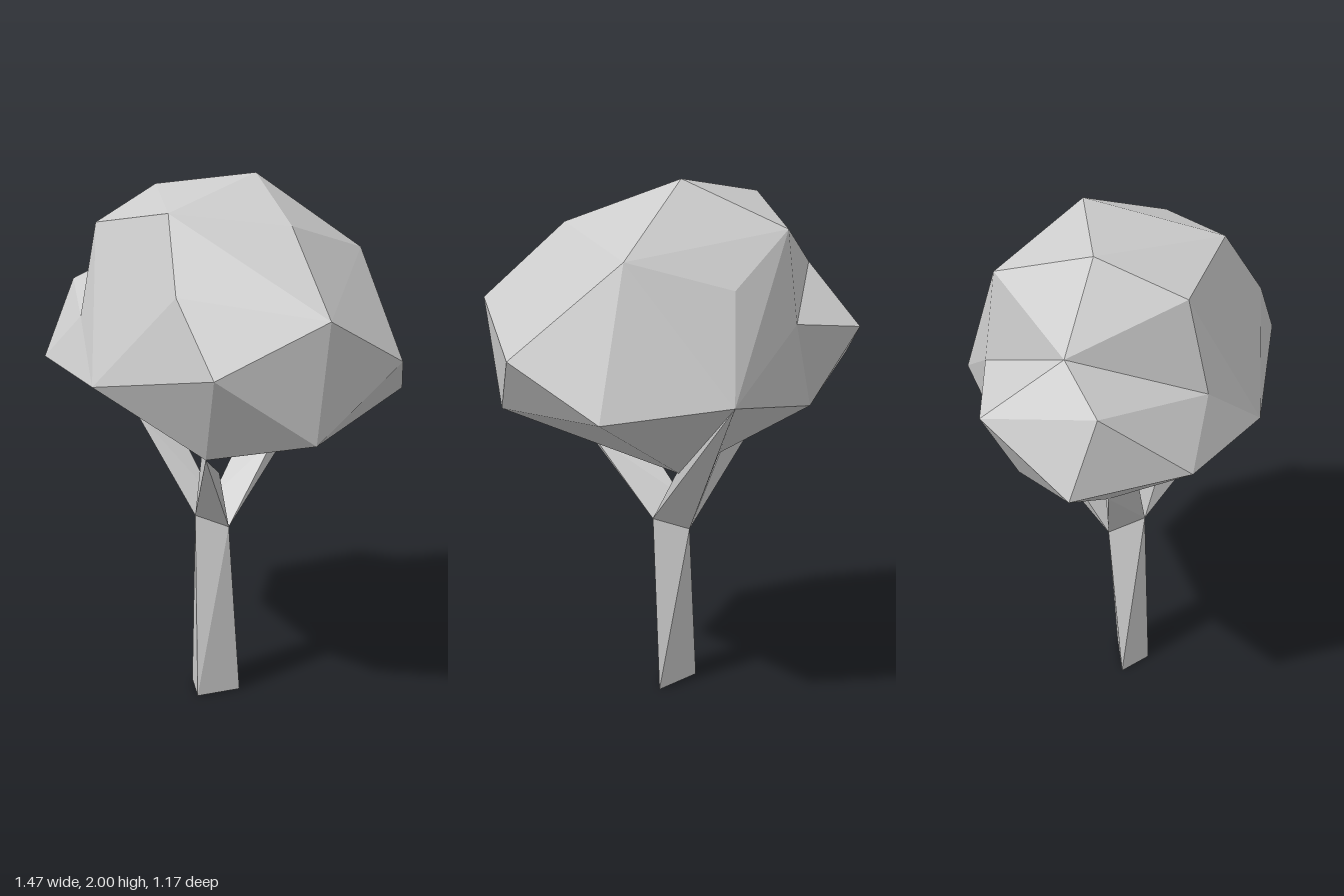
import * as THREE from 'three';
import { ConvexGeometry } from 'three/addons/geometries/ConvexGeometry.js';

// Shared corners of the tree, as [x, y, z]
const crotch = [0.01, 0.79, 0.05];
const trunkFront = [0.02, 0.74, 0.15];
const trunkLeft = [0.12, 0.70, 0.07];
const trunkBack = [-0.01, 0.66, 0.01];
const frontTip = [-0.03, 1.30, 0.58];
const backTip = [0.07, 1.27, -0.59];
const lobeTop = [-0.51, 1.68, 0.02];
const creaseFront = [-0.27, 1.50, 0.44];
const creaseBack = [-0.27, 1.50, -0.36];
const lobeUnder = [-0.42, 1.16, -0.19];
const underFrontLeft = [0.34, 1.08, 0.39];
const underFront = [0.11, 1.00, 0.20];
const underBack = [0.10, 0.94, -0.16];
const underRight = [-0.18, 1.06, 0.0];
const lobeBottom = [-0.36, 1.07, 0.12];

const parts = {
  // Three-sided, slightly twisted trunk
  trunk: [
    [0.05, 0, 0.17], [0.12, 0, 0.01], [-0.07, 0, 0.09],
    trunkFront, trunkLeft, trunkBack,
  ],
  // Three branches fork from the trunk top and end in the foliage
  leftBranch: [trunkFront, trunkLeft, crotch, underFrontLeft, underFront, [0.29, 1.0, 0.28]],
  rightBranch: [trunkFront, trunkBack, crotch, lobeBottom, [-0.27, 1.11, 0.2], [-0.22, 1.08, 0.06]],
  backBranch: [trunkLeft, trunkBack, crotch, backTip, [-0.05, 1.02, -0.19], [0.10, 0.99, -0.19]],
  // Large faceted crown
  mainFoliage: [
    [0.07, 2.00, -0.11], [-0.30, 1.95, 0.05], [0.15, 1.89, 0.38], [0.44, 1.85, 0.09],
    [-0.27, 1.83, 0.36], [-0.25, 1.83, -0.32], [0.37, 1.74, -0.35], [0.31, 1.64, 0.49],
    [0.01, 1.64, -0.45], [0.72, 1.58, 0.20], [0.51, 1.40, 0.51], [0.73, 1.40, -0.16],
    [0.50, 1.22, -0.46], [0.67, 1.16, 0.20],
    lobeTop, creaseFront, creaseBack, lobeUnder, frontTip, backTip,
    underFrontLeft, underFront, underBack, underRight,
  ],
  // Smaller lobe on the model's right
  sideFoliage: [
    [-0.66, 1.57, 0.18], [-0.74, 1.30, 0.11], [-0.49, 1.32, 0.45], [-0.59, 1.46, -0.25],
    lobeTop, creaseFront, creaseBack, lobeUnder, lobeBottom, frontTip,
  ],
};

export function createModel() {
  const tree = new THREE.Group();
  tree.name = 'tree';
  const material = new THREE.MeshStandardMaterial({ color: 0xcccccc, flatShading: true });
  for (const [name, corners] of Object.entries(parts)) {
    const points = corners.map((c) => new THREE.Vector3(...c));
    const mesh = new THREE.Mesh(new ConvexGeometry(points), material);
    mesh.name = name;
    tree.add(mesh);
  }
  return tree;
}
